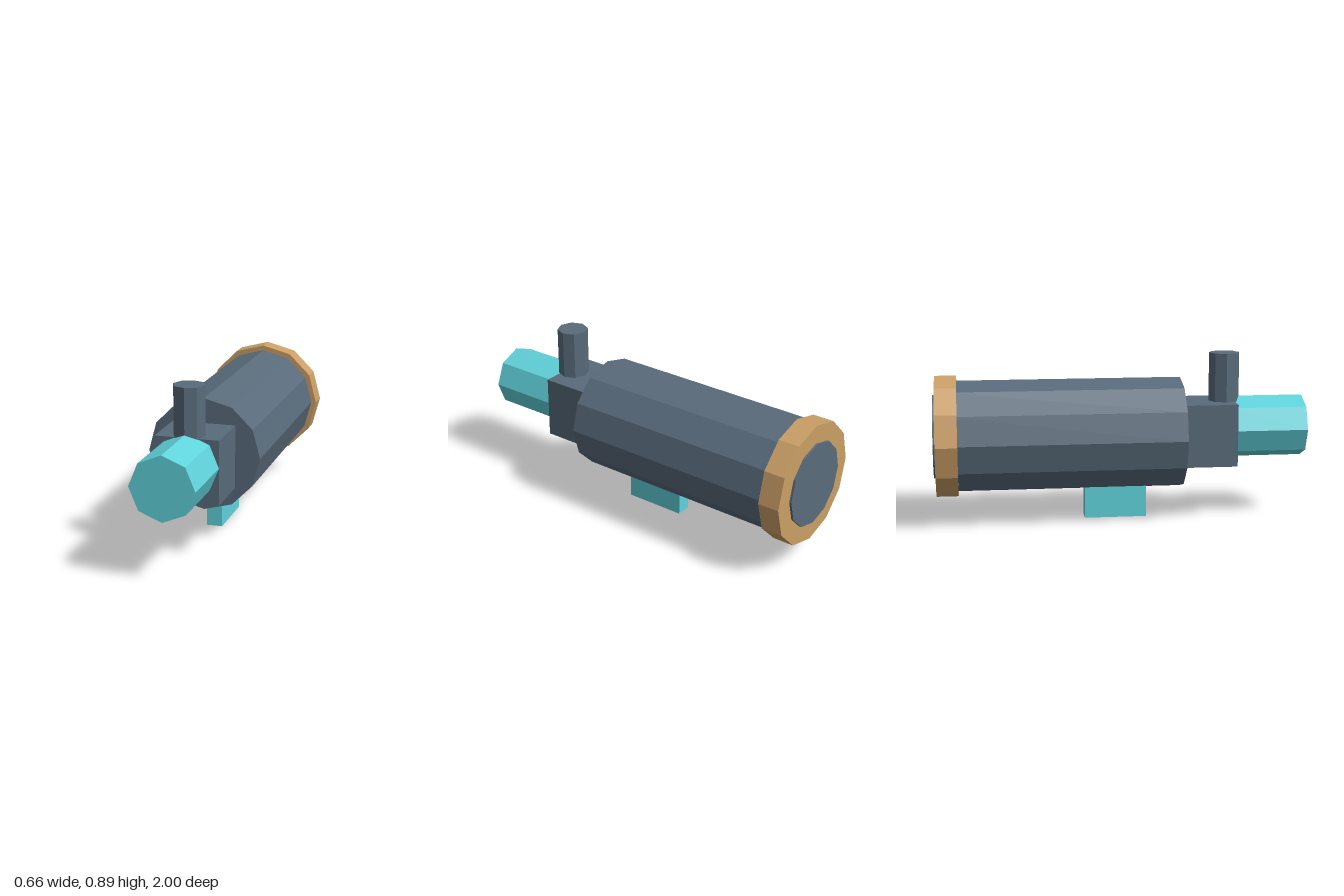
import * as THREE from 'three';

const paint = (color) => new THREE.MeshStandardMaterial({ color, flatShading: true });

export function createModel() {
  const model = new THREE.Group();
  const slate = paint(0x596b7b);
  const cyan = paint(0x60d3dc);
  const brass = paint(0xcb9f66);

  const add = (name, geometry, material, x, y, z) => {
    const mesh = new THREE.Mesh(geometry, material);
    mesh.name = name;
    mesh.position.set(x, y, z);
    model.add(mesh);
  };

  // Faceted cylinder lying along z, from zBack to zFront
  const barrel = (name, radius, sides, y, zBack, zFront, material) => {
    const geometry = new THREE.CylinderGeometry(radius, radius, zFront - zBack, sides);
    geometry.rotateX(Math.PI / 2);
    add(name, geometry, material, 0, y, (zBack + zFront) / 2);
  };

  const axisY = 0.458;

  // Main tube with its rim and lens at the back
  barrel('mainTube', 0.3, 12, axisY, -0.93, 0.327, slate);
  barrel('rimRing', 0.328, 12, axisY, -0.988, -0.873, brass);
  barrel('lens', 0.227, 12, axisY, -1, -0.95, slate);

  // Square housing and eyepiece at the front
  add('housing', new THREE.BoxGeometry(0.336, 0.336, 0.3), slate, 0, axisY, 0.467);
  barrel('eyepiece', 0.167, 8, 0.482, 0.6, 1, cyan);

  // Upright knob on the housing
  add('knob', new THREE.CylinderGeometry(0.083, 0.083, 0.266, 8), slate, 0, 0.755, 0.568);

  // Mounting foot under the tube
  add('foot', new THREE.BoxGeometry(0.084, 0.18, 0.335), cyan, 0, 0.09, -0.028);

  return model;
}
